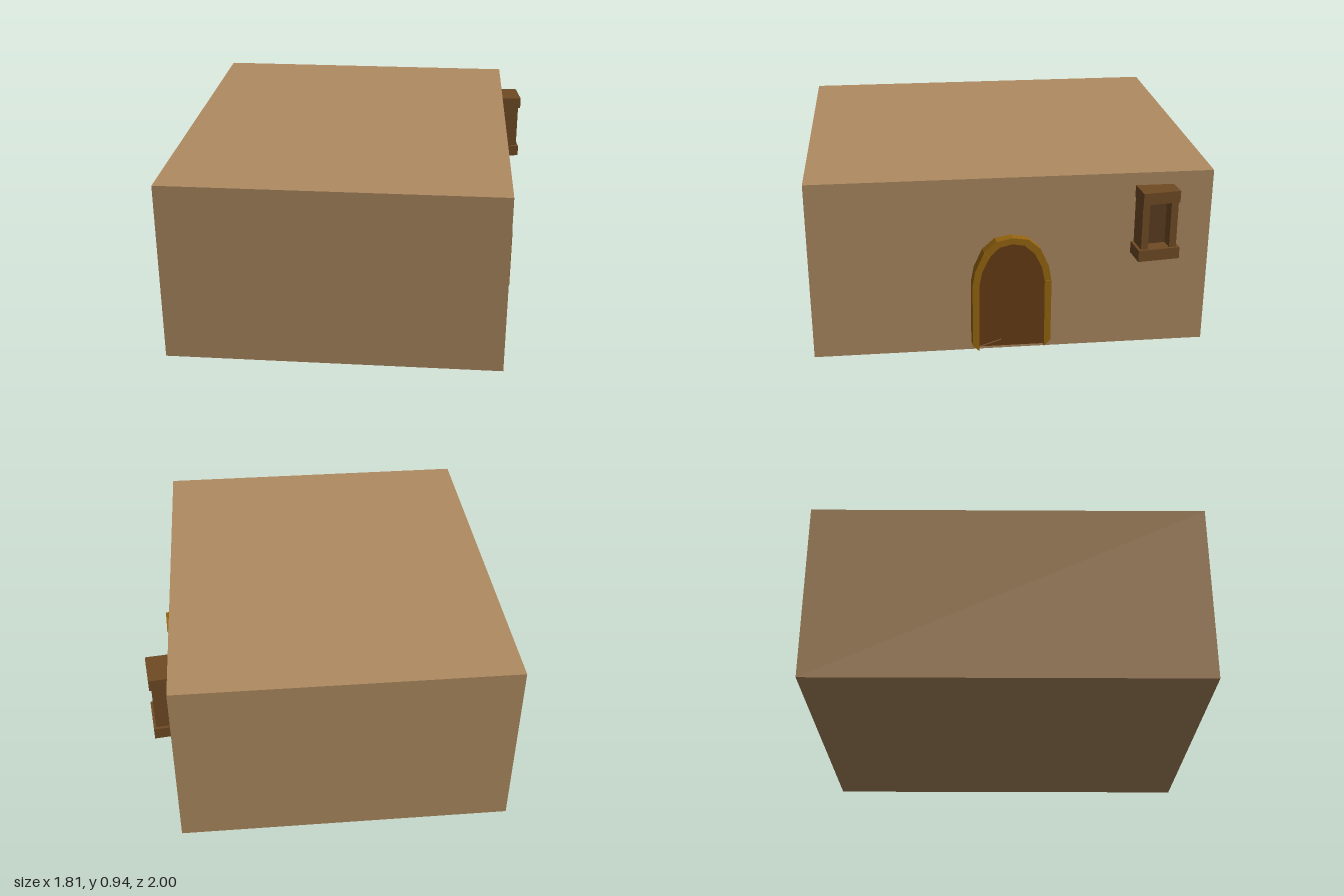
import * as THREE from 'three';

const mat = (color) => new THREE.MeshStandardMaterial({ color, flatShading: true });
const WALL = mat(0xb08c62), WOOD = mat(0x704b24), PANE = mat(0x5a3c20);
const DOOR = mat(0x6b3e14), FRAME = mat(0x966510), EDGE = mat(0x9a7040);

// Box given by its min and max corners
function box(name, a, b, material) {
  const g = new THREE.BoxGeometry(b[0] - a[0], b[1] - a[1], b[2] - a[2]);
  g.translate((a[0] + b[0]) / 2, (a[1] + b[1]) / 2, (a[2] + b[2]) / 2);
  const m = new THREE.Mesh(g, material);
  m.name = name;
  return m;
}

// Flat outline of [z, y] points, standing in the wall plane, from x = back to x = front
function slab(name, pts, back, front, material) {
  const shape = new THREE.Shape(pts.map(([z, y]) => new THREE.Vector2(-z, y)));
  const g = new THREE.ExtrudeGeometry(shape, { depth: front - back, bevelEnabled: false });
  g.translate(0, 0, back).rotateY(Math.PI / 2);
  const m = new THREE.Mesh(g, material);
  m.name = name;
  return m;
}

function createDoorway() {
  const door = new THREE.Group();
  door.name = 'doorway';

  // Half profiles of the arch, from the foot to the crown
  const outer = [[0.2, 0.05], [0.2, 0.385], [0.185, 0.47], [0.142, 0.565], [0.08, 0.62], [0, 0.635]];
  const inner = [[0.167, 0.018], [0.165, 0.39], [0.15, 0.465], [0.113, 0.54], [0.06, 0.59], [0, 0.602]];

  // Frame blocks, mirrored left and right, set a little unevenly
  const frame = new THREE.Group();
  frame.name = 'doorFrame';
  const setback = [0, 0.003, 0, 0.004, 0.001];
  for (const s of [1, -1]) {
    for (let i = 0; i < outer.length - 1; i++) {
      const pts = [outer[i], outer[i + 1], inner[i + 1], inner[i]].map(([z, y]) => [z * s, y]);
      frame.add(slab(i ? 'archBlock' : 'jamb', pts, -0.1, -setback[i], FRAME));
    }
  }
  frame.position.x = 0.8325;
  frame.rotation.y = 0.066;
  door.add(frame);

  // Right leaf fills the arch; left leaf stands proud with a slanted foot
  const mirrored = inner.slice(0, -1).reverse().map(([z, y]) => [-z, y]);
  door.add(slab('doorPanel', [...inner, ...mirrored], 0.74, 0.795, DOOR));
  const leaf = [[0.165, 0.025], ...inner.slice(1), [0.055, 0.06]];
  door.add(slab('doorLeaf', leaf, 0.79, 0.803, DOOR));
  door.add(slab('leafEdge', [[0.165, 0.018], [0.165, 0.025], [0.055, 0.06], [0.052, 0.055]], 0.79, 0.802, EDGE));
  return door;
}

// Window box, slightly turned; its front is at local x = 0
function createWindow() {
  const w = new THREE.Group();
  w.name = 'window';
  w.add(
    box('windowSill', [-0.17, 0.51, -0.106], [0, 0.57, 0.106], WOOD),
    box('windowLintel', [-0.17, 0.81, -0.094], [0, 0.87, 0.094], WOOD),
    box('windowPane', [-0.16, 0.57, -0.07], [-0.075, 0.81, 0.07], PANE)
  );
  for (const s of [1, -1]) {
    const post = box('windowPost', [-0.17, 0.57, -0.018], [-0.012, 0.81, 0.018], WOOD);
    post.position.z = s * 0.073;
    w.add(post);
  }
  w.position.set(0.8925, 0, -0.72);
  w.rotation.y = 0.118;
  return w;
}

export function createModel() {
  const model = new THREE.Group();
  model.name = 'house';
  model.add(box('walls', [-0.907, 0, -1], [0.785, 0.935, 1], WALL), createDoorway(), createWindow());
  return model;
}
